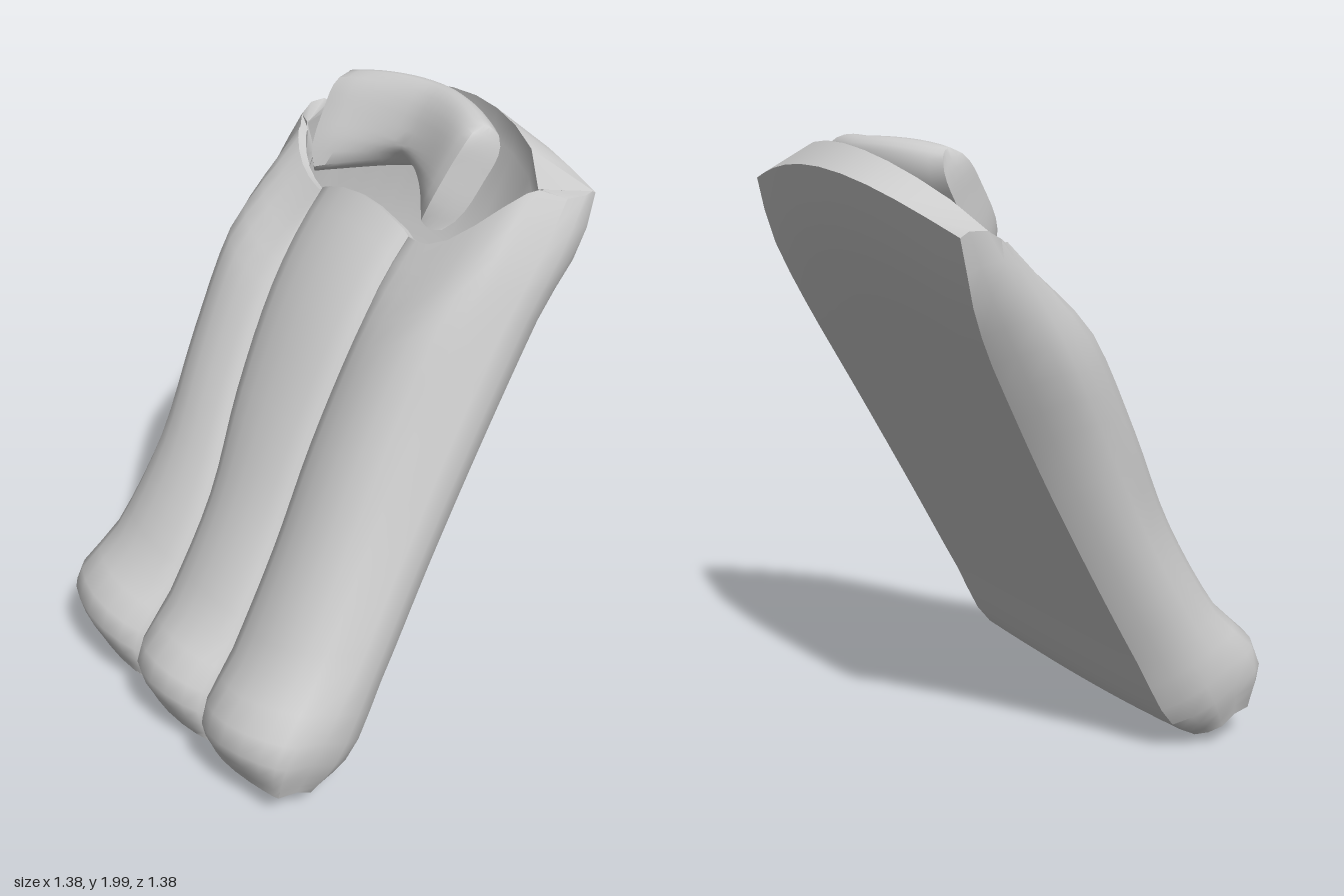
import * as THREE from 'three';
import { mergeVertices, toCreasedNormals } from 'three/addons/utils/BufferGeometryUtils.js';

const { lerp, smoothstep } = THREE.MathUtils;
const material = new THREE.MeshStandardMaterial({ color: 0xcccccc, side: THREE.DoubleSide });

// Outline of the bag from foot (0) to head (1). Columns: left and right side,
// left and right panel edge, left and right crease, then the heights of
// tube tops, panel edges, creases and back.
const stations = [0, 0.06, 0.2, 0.4, 0.6, 0.8, 0.92, 1];
const outline = [
  -0.56, 0.64, -0.55, 0.63, -0.13, 0.26, 0.29, 0.26, 0.22, 0.07,
  -0.59, 0.68, -0.58, 0.67, -0.13, 0.26, 0.425, 0.33, 0.31, 0.005,
  -0.585, 0.67, -0.55, 0.63, -0.135, 0.24, 0.38, 0.28, 0.31, 0,
  -0.59, 0.64, -0.54, 0.58, -0.16, 0.21, 0.365, 0.26, 0.30, 0,
  -0.62, 0.62, -0.59, 0.55, -0.23, 0.185, 0.375, 0.26, 0.32, 0,
  -0.685, 0.61, -0.63, 0.535, -0.28, 0.17, 0.375, 0.25, 0.32, 0,
  -0.695, 0.615, -0.62, 0.52, -0.295, 0.155, 0.35, 0.23, 0.30, 0.01,
  -0.69, 0.60, -0.61, 0.49, -0.30, 0.15, 0.32, 0.20, 0.27, 0.05,
];
const profile = new THREE.CubicInterpolant(stations, outline, 10);

// Closed loop at v: three quilted tubes, right side, back, left side.
function loop(v) {
  const [L, R, FL, FR, CL, CR, top, edge, crease, back] = Array.from(profile.evaluate(v));
  const pts = [];
  const add = (x, rim, w, part, k = 0) => {
    const foot = (part === 'front' ? -0.235 : -0.21) + 0.13 * x * x;
    pts.push({ x, y: lerp(foot, rim, v), z: w, part, k });
  };
  const head = smoothstep(v, 0.78, 1);
  // Each tube: x and height at both edges, rim at both edges, rim bulge,
  // and how full the tube stays at the mouth.
  const tubes = [
    [FL, CL, edge, crease, 1.7, 1.54, -0.03, 0.25],
    [CL, CR, crease, crease, 1.55, 1.55, 0.045, 1],
    [CR, FR, crease, edge, 1.54, 1.83, -0.1, 0.6],
  ];
  for (const [x0, x1, w0, w1, r0, r1, bulge, full] of tubes) {
    for (let i = 0; i < 8; i++) {
      const t = (1 - Math.cos((i / 8) * Math.PI)) / 2;
      const arch = Math.sin(Math.PI * t);
      const base = lerp(w0, w1, t);
      const puff = (top - base) * Math.sqrt(arch) * lerp(1, full, head);
      add(lerp(x0, x1, t), lerp(r0, r1, t) + bulge * arch, base + puff, 'front');
    }
  }
  add(FR, 1.83, edge, 'front');
  const inset = lerp(0.87, 1, head);
  const sideW = lerp(0.14, 0.13, head);
  const corner = back + 0.045 * head;
  add(lerp(FR, R, 0.75), 1.84, lerp(edge, sideW, 0.5), 'right');
  add(R, 1.87, sideW, 'right');
  add(lerp(R, R * inset, 0.4), 1.89, lerp(sideW, corner, 0.6), 'right');
  for (let i = 0; i <= 10; i++) {
    const k = i / 10;
    const w = back + 0.045 * head * (1 - k) ** 4;
    add(lerp(R, L, k) * inset, lerp(1.89, 1.82, k) + 0.14 * Math.sin(Math.PI * k), w, 'back', k);
  }
  add(lerp(L, L * inset, 0.4), 1.82, lerp(sideW, back, 0.6), 'left');
  add(L, 1.79, sideW, 'left');
  add(lerp(FL, L, 0.75), 1.74, lerp(edge, sideW, 0.5), 'left');
  return pts;
}

// Rolled hem around the mouth, then the lining running down inside.
function mouth(last, drop, gap, floor) {
  return last.map(({ x, y, z, part, k }) => {
    if (part === 'front') return { x: x * (1 - gap), y: y - drop, z: z - gap };
    const t = part === 'right' ? 0 : part === 'left' ? 1 : k;
    const arc = Math.max(0, Math.sin(Math.PI * t)) ** 0.65;
    const hem = { x: lerp(0.49, -0.61, t), y: lerp(1.83, 1.72, t) + 0.24 * arc, z: 0.19 - 0.04 * arc };
    const keep = part === 'back' ? 0 : 0.12;
    return {
      x: lerp(hem.x, x, keep) * (1 - gap),
      y: lerp(hem.y, y, keep) - drop,
      z: lerp(hem.z, z, keep) * (1 - floor) + 0.09 * floor,
    };
  });
}

// Skin a list of loops, closing both ends with a fan.
function skin(rings, first, last) {
  const n = rings[0].length;
  const pos = [];
  const index = [];
  for (const p of [...rings.flat(), first, last]) pos.push(p.x, p.y, p.z);
  const a = rings.length * n;
  const end = a - n;
  for (let j = 0; j < n; j++) {
    const j1 = (j + 1) % n;
    for (let i = 0; i < rings.length - 1; i++) {
      const p = i * n + j, q = i * n + j1;
      index.push(p, q, q + n, p, q + n, p + n);
    }
    index.push(a, j1, j, a + 1, end + j, end + j1);
  }
  const geo = new THREE.BufferGeometry();
  geo.setAttribute('position', new THREE.Float32BufferAttribute(pos, 3));
  geo.setIndex(index);
  return toCreasedNormals(geo, 0.8);
}

function makeBag() {
  const rings = [0, 0.015, 0.035, 0.06, 0.1, 0.15].map(loop);
  for (let i = 1; i <= 17; i++) rings.push(loop(0.15 + 0.05 * i));
  const rim = rings[rings.length - 1];
  rings.push(mouth(rim, 0, 0.025, 0), mouth(rim, 0.08, 0.05, 0.7), mouth(rim, 0.45, 0.08, 1));
  return skin(rings, { x: 0.03, y: -0.235, z: 0.17 }, { x: -0.06, y: 1.1, z: 0.17 });
}

// Soft pillow: pinched along its edges, ends curling forward, middle arched.
function makePillow() {
  const geo = new THREE.BoxGeometry(2, 2, 2, 18, 10, 4);
  geo.deleteAttribute('uv');
  geo.deleteAttribute('normal');
  const p = geo.attributes.position;
  for (let i = 0; i < p.count; i++) {
    const a = p.getX(i), b = p.getY(i), c = p.getZ(i);
    const half = (0.07 + 0.015 * a * a) * (1 - 0.5 * b ** 4) * (1 - 0.3 * a ** 6);
    const lift = b < 0 ? 0.15 * (1 - Math.abs(a) ** 1.3) * -b : (0.02 - 0.07 * a * a) * b;
    p.setXYZ(
      i,
      -0.075 + 0.355 * a * (0.95 + 0.06 * b - 0.06 * b ** 4) - 0.02 * a * c,
      1.79 + 0.2 * b * (1 - 0.06 * c * c) + lift,
      0.17 + 0.095 * Math.abs(a) ** 1.6 - 0.02 * a * a * b + 0.015 * b + half * c
    );
  }
  return toCreasedNormals(mergeVertices(geo), 0.9);
}

export function createModel() {
  const model = new THREE.Group();
  model.name = 'sleepingBag';

  // The whole bag leans back by thirty degrees.
  const lean = new THREE.Group();
  lean.name = 'leaningBag';
  lean.rotation.x = -Math.PI / 6;
  lean.position.set(0, 0.15, 0.26);
  model.add(lean);

  const parts = { quiltedBag: makeBag(), pillow: makePillow() };
  for (const [name, geometry] of Object.entries(parts)) {
    const mesh = new THREE.Mesh(geometry, material);
    mesh.name = name;
    lean.add(mesh);
  }
  return model;
}
